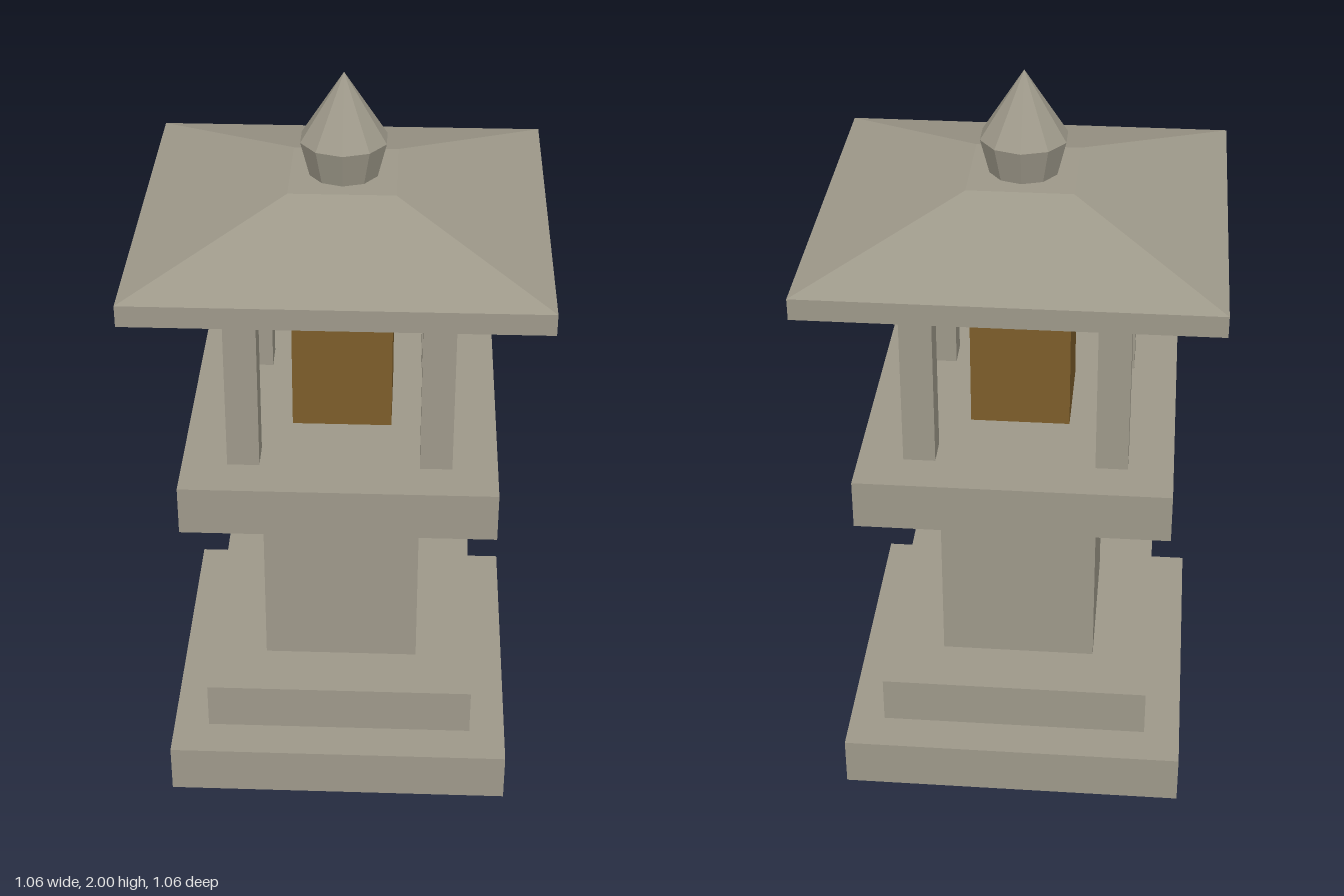
import * as THREE from 'three';

const stone = new THREE.MeshStandardMaterial({ color: 0x9e998a });
stone.name = 'stone';
stone.flatShading = true;
const amber = new THREE.MeshStandardMaterial({ color: 0x7c5d2a });
amber.name = 'amber';

export function createModel() {
  const group = new THREE.Group();
  group.name = 'stoneLantern';

  // Square block from y0 to y1
  const block = (name, width, y0, y1, material = stone, x = 0, z = 0) => {
    const mesh = new THREE.Mesh(new THREE.BoxGeometry(width, y1 - y0, width), material);
    mesh.name = name;
    mesh.position.set(x, (y0 + y1) / 2, z);
    group.add(mesh);
  };

  // Faceted turned solid from a [radius, y] profile, bottom to top
  const turned = (name, profile, sides, start = 0) => {
    const points = profile.map(([r, y]) => new THREE.Vector2(r, y));
    const geometry = new THREE.LatheGeometry(points, sides, start).toNonIndexed();
    geometry.computeVertexNormals();
    const mesh = new THREE.Mesh(geometry, stone);
    mesh.name = name;
    group.add(mesh);
  };

  // Stacked foundation, pillar and platform
  block('base', 0.945, 0, 0.142);
  block('step', 0.745, 0.154, 0.291);
  block('pillar', 0.43, 0.299, 0.862);
  block('platform', 0.84, 0.868, 1.006);

  // Lamp box floating between four corner posts
  block('lamp', 0.268, 1.034, 1.392, amber);
  for (const x of [-1, 1]) {
    for (const z of [-1, 1]) block('post', 0.086, 1.0, 1.476, stone, x * 0.256, z * 0.256);
  }

  // Hipped roof: thin eaves and a sloped top with a flat crown
  const corner = Math.SQRT2;
  turned('roof', [
    [0, 1.557], [0.53 * corner, 1.557], [0.53 * corner, 1.614], [0.138 * corner, 1.727], [0, 1.727],
  ], 4, Math.PI / 4);

  // Ten-sided pointed finial
  turned('finial', [[0, 1.727], [0.092, 1.727], [0.116, 1.82], [0, 2]], 10);

  return group;
}
